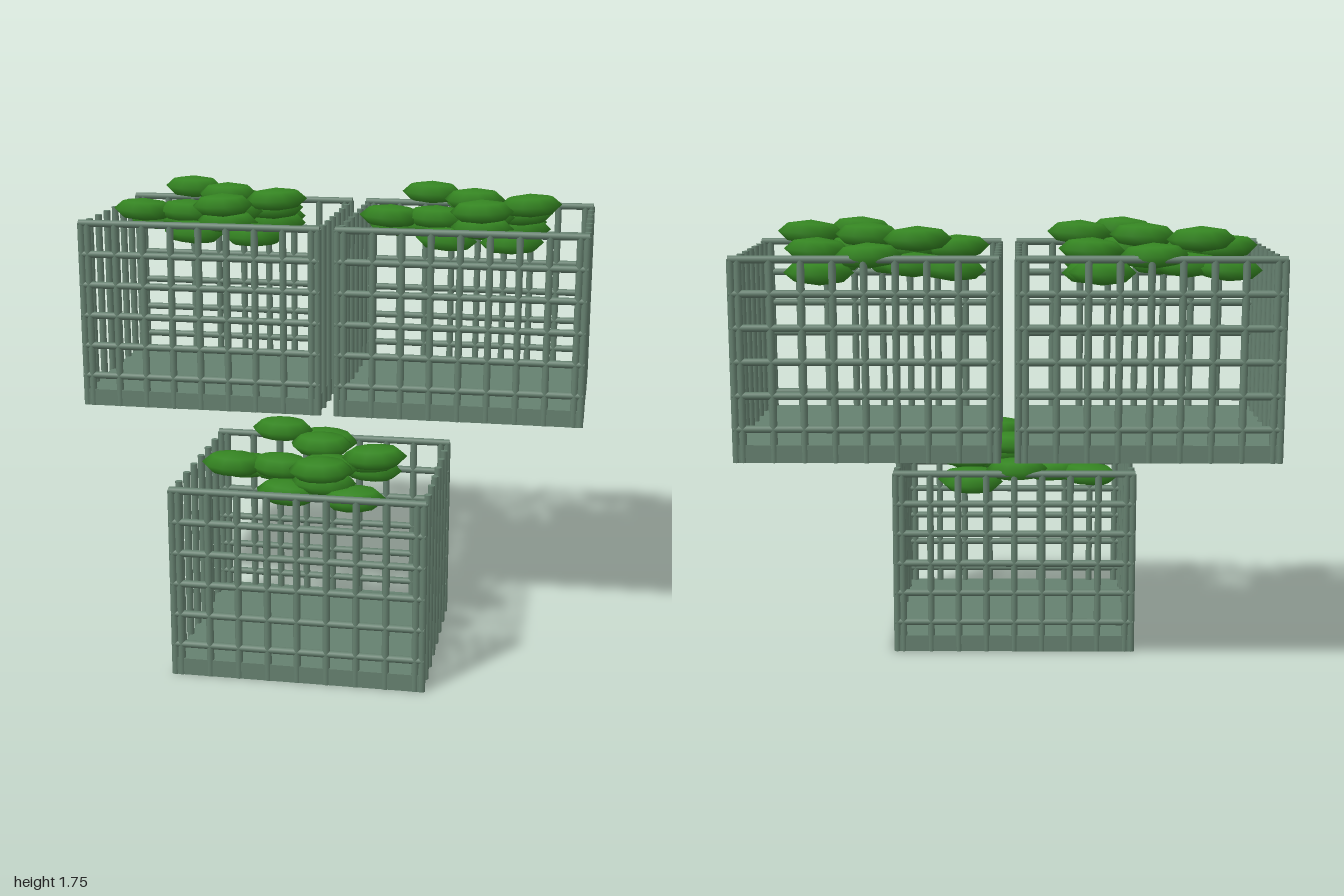
import * as THREE from 'three';

const steel = new THREE.MeshStandardMaterial({ color: 0x65806f });
steel.name = 'greyGreenSteel';
const green = new THREE.MeshStandardMaterial({ color: 0x348421 });
green.name = 'leafGreen';

const HALF_W = 0.4735, HALF_D = 0.392, STEP = 0.112, R = 0.014, POST_H = 0.737;
const postGeo = new THREE.CylinderGeometry(R, R, POST_H, 10).translate(0, POST_H / 2, 0);
const railGeo = new THREE.CylinderGeometry(R, R, 0.963, 10).rotateZ(Math.PI / 2);
const floorGeo = new THREE.BoxGeometry(HALF_W * 2, 0.066, HALF_D * 2 + 0.02).translate(0, 0.033, 0);
const leafGeo = new THREE.SphereGeometry(1, 10, 4);

// leaf clumps: x, y, z inside a crate
const LEAVES = [
  [-0.01, 0.745, -0.33], [-0.185, 0.8, -0.27], [0.17, 0.68, -0.285],
  [-0.305, 0.68, -0.135], [0.19, 0.675, -0.19], [-0.16, 0.69, -0.095],
  [0.01, 0.8, -0.08], [0.2, 0.745, -0.085], [-0.315, 0.745, 0.05],
  [-0.13, 0.745, 0.045], [0.055, 0.745, 0.03], [0.24, 0.8, 0.05],
  [-0.08, 0.675, 0.155], [0.06, 0.72, 0.145], [0.18, 0.675, 0.19],
  [0.065, 0.8, 0.245],
];

function add(parent, name, geo, mat, x = 0, y = 0, z = 0) {
  const m = new THREE.Mesh(geo, mat);
  m.name = name;
  m.position.set(x, y, z);
  parent.add(m);
  return m;
}

function makeCrate() {
  const crate = new THREE.Group();
  crate.name = 'crate';
  add(crate, 'floor', floorGeo, steel);

  for (const s of [1, -1]) {
    // front and back lattice panels
    const panel = new THREE.Group();
    panel.name = s > 0 ? 'frontPanel' : 'backPanel';
    for (let i = -4; i <= 4; i++) add(panel, 'panelPost', postGeo, steel, i * STEP, 0, s * HALF_D);
    for (let j = 1; j <= 6; j++) add(panel, 'rail', railGeo, steel, 0, j * 0.1228, s * HALF_D);
    crate.add(panel);

    // free-standing posts on the sides
    const side = new THREE.Group();
    side.name = s > 0 ? 'leftPosts' : 'rightPosts';
    for (let i = 0; i < 8; i++) add(side, 'sidePost', postGeo, steel, s * HALF_W, 0, (i - 3.5) * STEP);
    crate.add(side);
  }

  // leafy filling
  const foliage = new THREE.Group();
  foliage.name = 'foliage';
  LEAVES.forEach(([x, y, z], i) => {
    const leaf = add(foliage, 'leafClump', leafGeo, green, x, y, z);
    leaf.scale.set(0.125, 0.047, 0.092);
    leaf.rotation.set(0, ((i % 3) - 1) * 0.12, ((i % 4) - 1.5) * 0.03);
  });
  crate.add(foliage);
  return crate;
}

export function createModel() {
  const model = new THREE.Group();
  model.name = 'stackedCrates';
  // one crate below in front, two above behind
  const spots = [
    ['lowerCrate', -0.024, 0, 0.27],
    ['upperRightCrate', -0.513, 0.902, -0.263],
    ['upperLeftCrate', 0.51, 0.902, -0.263],
  ];
  for (const [name, x, y, z] of spots) {
    const crate = makeCrate();
    crate.name = name;
    crate.position.set(x, y, z);
    model.add(crate);
  }
  return model;
}
